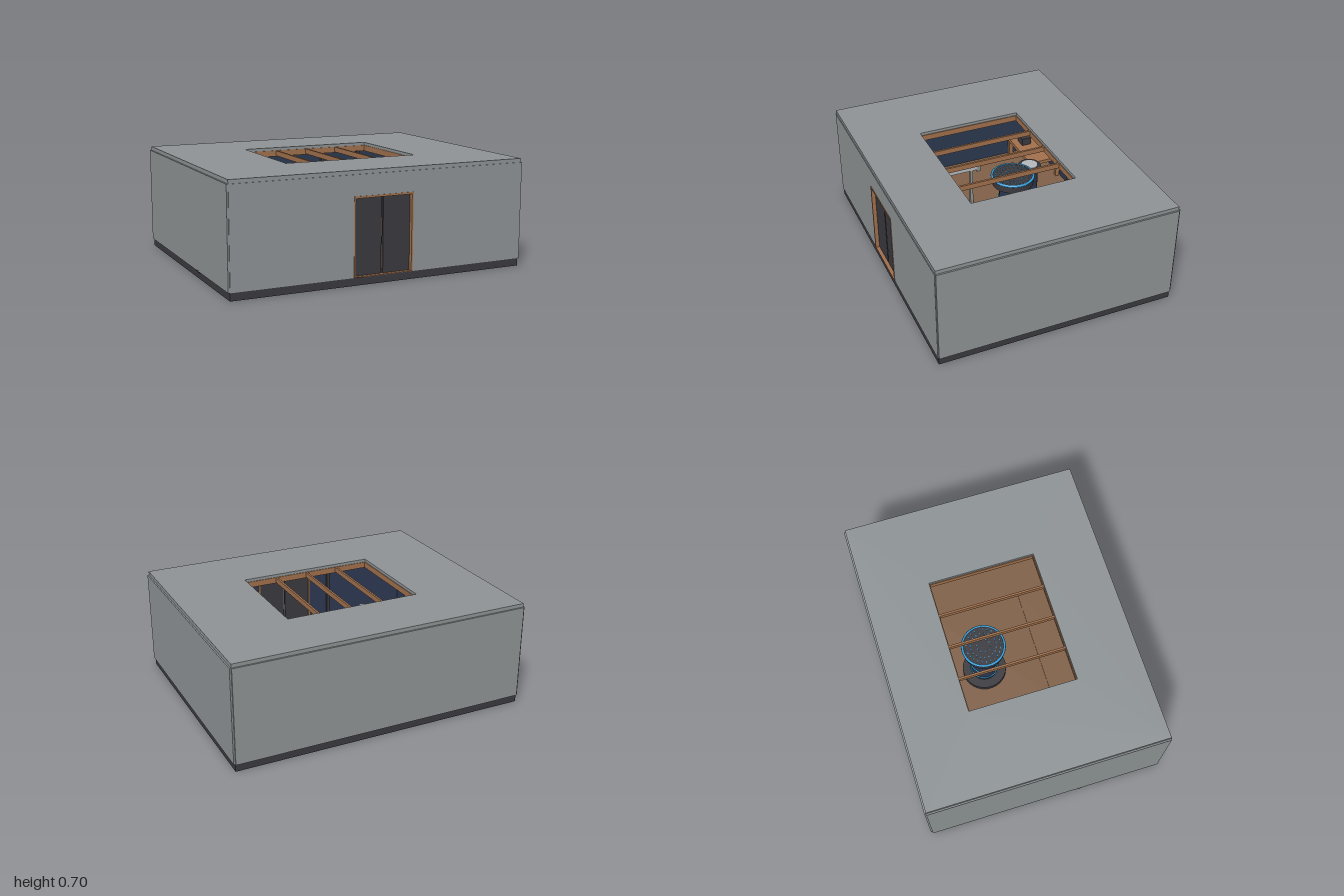
import * as THREE from 'three';

export function createModel() {
  const root = new THREE.Group();
  const mat = (name, color) => {
    const m = new THREE.MeshStandardMaterial({ color });
    m.name = name;
    return m;
  };
  const stone = mat('concrete grey', 0x8d9294);
  const dark = mat('charcoal', 0x3a393f);
  const wood = mat('warm wood', 0xa0704c);
  const plank = mat('floor wood', 0x7f5f47);
  const navy = mat('navy panel', 0x2c3850);
  const glow = mat('bright blue', 0x2f9fdc);
  const pale = mat('pale metal', 0xb4b8ba);

  const add = (name, geo, m, x, y, z, parent = root) => {
    const mesh = new THREE.Mesh(geo, m);
    mesh.name = name;
    mesh.position.set(x, y, z);
    parent.add(mesh);
    return mesh;
  };
  // box given by its min and max corners
  const box = (name, m, x0, x1, y0, y1, z0, z1, parent) =>
    add(name, new THREE.BoxGeometry(x1 - x0, y1 - y0, z1 - z0), m,
      (x0 + x1) / 2, (y0 + y1) / 2, (z0 + z1) / 2, parent);
  const drum = (name, m, r, y0, y1, x, z, parent, rTop = r) =>
    add(name, new THREE.CylinderGeometry(rTop, r, y1 - y0, 40), m, x, (y0 + y1) / 2, z, parent);
  const ring = (name, m, r, tube, x, y, z, parent) => {
    const t = add(name, new THREE.TorusGeometry(r, tube, 8, 48), m, x, y, z, parent);
    t.rotation.x = Math.PI / 2;
    return t;
  };
  const rect = (C, x0, x1, y0, y1) => {
    const s = new C();
    s.moveTo(x0, y0); s.lineTo(x1, y0); s.lineTo(x1, y1); s.lineTo(x0, y1); s.closePath();
    return s;
  };

  // foundation and floor
  box('foundation', dark, -0.99, 0.99, 0, 0.05, -0.79, 0.79);
  box('floor', plank, -0.96, 0.96, 0.05, 0.056, -0.76, 0.76);
  box('entranceBoards', plank, -0.41, 0.45, 0.056, 0.063, 0.26, 0.7);

  // outer walls with an opening for the doors
  for (const s of [-1, 1]) {
    box('sideWall', stone, s * 0.98 - 0.02, s * 0.98 + 0.02, 0.05, 0.68, -0.79, 0.79);
    box('sidePanel', navy, s * 0.956 - 0.004, s * 0.956 + 0.004, 0.05, 0.68, -0.76, 0.76);
  }
  box('backWall', stone, -0.99, 0.99, 0.05, 0.68, -0.8, -0.76);
  box('backPanel', navy, -0.96, 0.96, 0.05, 0.68, -0.76, -0.752);
  const doorWall = (name, m, w, z, depth) => {
    const s = new THREE.Shape();
    [[-w, 0.05], [-0.2, 0.05], [-0.2, 0.545], [0.2, 0.545], [0.2, 0.05], [w, 0.05], [w, 0.68], [-w, 0.68]]
      .forEach(([x, y], i) => (i ? s.lineTo(x, y) : s.moveTo(x, y)));
    s.closePath();
    add(name, new THREE.ExtrudeGeometry(s, { depth, bevelEnabled: false }), m, 0, 0, z);
  };
  doorWall('frontWall', stone, 0.99, 0.76, 0.035);
  doorWall('frontPanel', navy, 0.96, 0.752, 0.008);

  // double door in a timber frame
  for (const s of [-1, 1]) {
    box('doorJamb', wood, s * 0.196 - 0.005, s * 0.196 + 0.005, 0.05, 0.548, 0.745, 0.798);
    box('doorLeaf', dark, s * 0.0985 - 0.0925, s * 0.0985 + 0.0925, 0.052, 0.535, 0.755, 0.772);
  }
  box('doorHead', wood, -0.201, 0.201, 0.535, 0.548, 0.745, 0.798);
  box('doorSill', wood, -0.19, 0.19, 0.05, 0.054, 0.745, 0.797);

  // flat roof with a framed skylight opening
  const roof = rect(THREE.Shape, -0.99, 0.99, -0.79, 0.79);
  roof.holes.push(rect(THREE.Path, -0.455, 0.455, -0.355, 0.36));
  const slab = add('roof', new THREE.ExtrudeGeometry(roof, { depth: 0.04, bevelEnabled: false }), stone, 0, 0.665, 0);
  slab.rotation.x = -Math.PI / 2;
  for (const s of [-1, 1]) {
    box('skylightSideTrim', wood, s * 0.455 - 0.005, s * 0.455 + 0.005, 0.645, 0.685, -0.36, 0.355);
  }
  for (const z of [-0.36, 0.355]) box('skylightEndTrim', wood, -0.455, 0.455, 0.645, 0.685, z - 0.005, z + 0.005);
  for (const x of [-0.225, 0, 0.225]) box('skylightBeam', wood, x - 0.007, x + 0.007, 0.65, 0.685, -0.36, 0.355);

  // round energy core below the skylight
  const core = new THREE.Group();
  core.name = 'energyCore';
  core.position.set(0, 0, -0.13);
  root.add(core);
  drum('coreBase', dark, 0.15, 0.056, 0.09, 0, 0, core);
  drum('coreColumn', navy, 0.09, 0.09, 0.46, 0, 0, core);
  drum('coreHead', dark, 0.14, 0.46, 0.52, 0, 0, core);
  ring('coreRim', glow, 0.14, 0.008, 0, 0.515, 0, core);
  for (const y of [0.13, 0.24, 0.35]) ring('coreBand', glow, 0.092, 0.006, 0, y, 0, core);
  for (const r of [0.045, 0.085, 0.115]) {
    const n = Math.round(r * 220);
    for (let i = 0; i < n; i++) {
      const a = (i / n) * Math.PI * 2;
      box('coreLight', glow, -0.004, 0.004, 0.52, 0.524, -0.003, 0.003, core)
        .position.set(r * Math.cos(a), 0.522, r * Math.sin(a));
    }
  }

  // wall rail with a round stool beside it
  box('railBar', pale, -0.442, -0.408, 0.34, 0.37, -0.04, 0.35);
  box('railEnd', stone, -0.445, -0.415, 0.32, 0.36, -0.07, -0.04);
  for (const z of [0, 0.32]) box('railPost', stone, -0.435, -0.415, 0.056, 0.34, z - 0.01, z + 0.01);
  drum('stool', dark, 0.1, 0.056, 0.2, -0.482, 0.23);
  ring('stoolRim', navy, 0.094, 0.007, -0.482, 0.2, 0.23);

  // round pedestal near the back
  drum('pedestal', navy, 0.06, 0.056, 0.29, -0.37, -0.43);
  drum('pedestalTop', dark, 0.08, 0.29, 0.305, -0.37, -0.43);
  drum('pedestalPlate', pale, 0.06, 0.305, 0.313, -0.37, -0.43);
  ring('pedestalLight', glow, 0.08, 0.004, -0.37, 0.3, -0.43);

  // workbench and shelves along the back wall
  box('benchTop', wood, -0.92, -0.5, 0.2, 0.225, -0.75, -0.5);
  for (const x of [-0.9, -0.52]) for (const z of [-0.73, -0.52]) {
    box('benchLeg', wood, x - 0.015, x + 0.015, 0.056, 0.2, z - 0.015, z + 0.015);
  }
  box('benchTool', dark, -0.83, -0.75, 0.225, 0.28, -0.62, -0.55);
  for (const y of [0.34, 0.44]) {
    box('shelf', wood, -0.92, -0.45, y, y + 0.015, -0.75, -0.65);
    for (let i = 0; i < 6; i++) {
      drum('jar', [pale, navy, dark][i % 3], 0.02, y + 0.015, y + 0.055, -0.88 + i * 0.075, -0.7);
    }
  }

  // tall cabinet, wall posts, screen and cot
  box('cabinet', wood, -0.04, 0.12, 0.056, 0.42, -0.75, -0.64);
  drum('cabinetPlate', plank, 0.04, 0.42, 0.435, 0.04, -0.69);
  for (const x of [-0.35, 0.3, 0.6]) for (const s of [-1, 1]) {
    box('wallPost', dark, x - 0.012, x + 0.012, 0.056, 0.665, s * 0.742 - 0.01, s * 0.742 + 0.01);
  }
  box('wallScreen', dark, 0.36, 0.56, 0.25, 0.42, 0.738, 0.75);
  box('cotFrame', wood, 0.5, 0.93, 0.056, 0.11, 0.5, 0.74);
  box('cotMattress', pale, 0.51, 0.92, 0.11, 0.13, 0.51, 0.73);

  // small rounded vent on the outside
  add('sideVent', new THREE.SphereGeometry(1, 24, 12), dark, -0.985, 0.05, 0.23).scale.set(0.018, 0.012, 0.05);

  return root;
}
